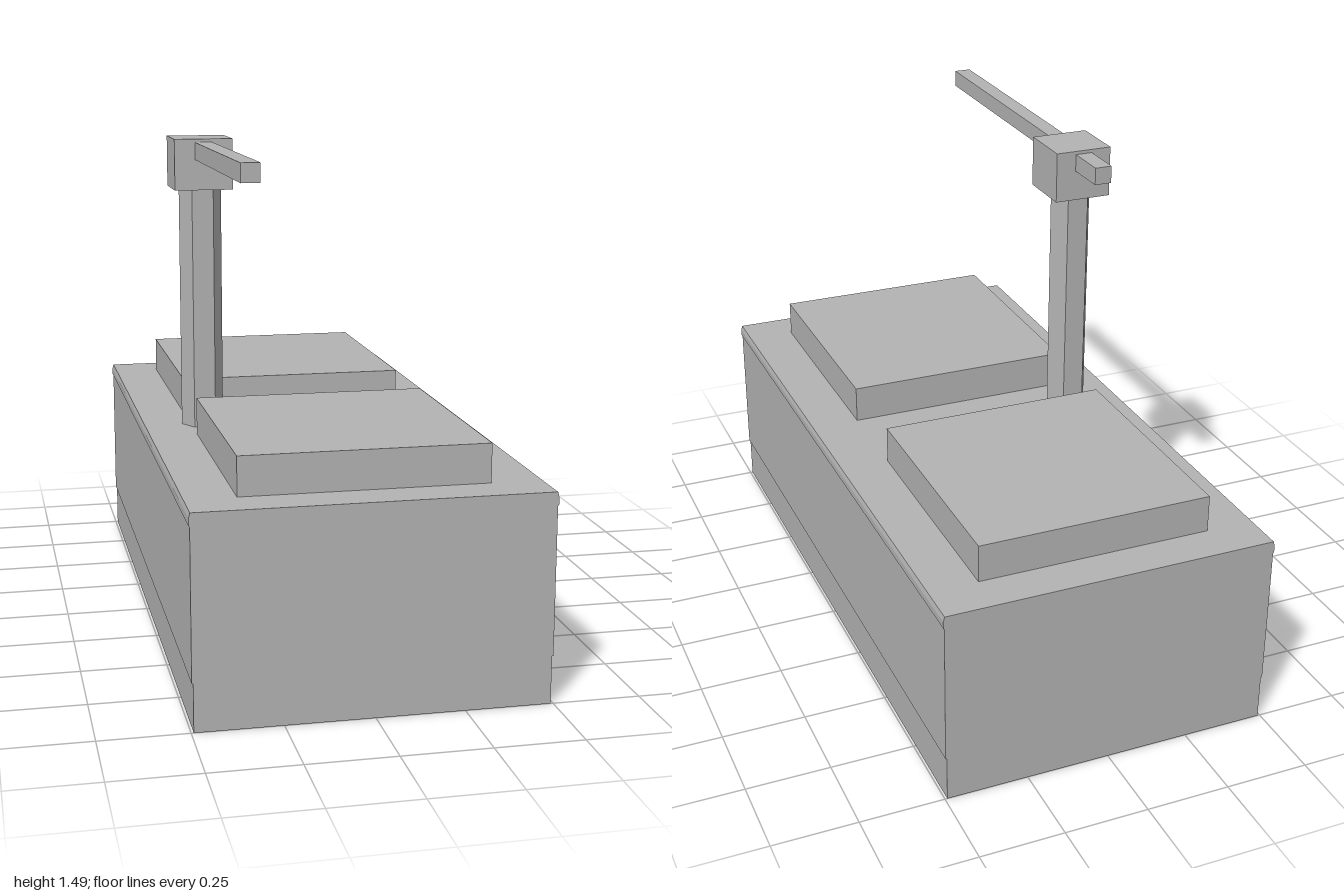
import * as THREE from 'three';

export function createModel() {
  const model = new THREE.Group();
  const grey = new THREE.MeshStandardMaterial({ color: 0xb3b3b3 });
  grey.name = 'plain grey';
  const greyOpen = new THREE.MeshStandardMaterial({ color: 0xb3b3b3, side: THREE.DoubleSide });
  greyOpen.name = 'plain grey two-sided';

  const add = (name, geometry, material = grey) => {
    const mesh = new THREE.Mesh(geometry, material);
    mesh.name = name;
    model.add(mesh);
    return mesh;
  };
  // Box given by its lower and upper limits on each axis
  const box = (name, [x0, x1], [y0, y1], [z0, z1]) =>
    add(name, new THREE.BoxGeometry(x1 - x0, y1 - y0, z1 - z0))
      .position.set((x0 + x1) / 2, (y0 + y1) / 2, (z0 + z1) / 2);

  const step = 0.137;

  // Main body: cross-section with a slight lip near the top, extruded lengthwise
  const side = [[0.497, step], [0.497, 0.56], [0.5, 0.565], [0.5, 0.585], [0.496, 0.6]];
  const outline = [...side, ...side.map(([x, y]) => [-x, y]).reverse()];
  const section = new THREE.Shape(outline.map(([x, y]) => new THREE.Vector2(x, y)));
  const body = new THREE.ExtrudeGeometry(section, { depth: 2, bevelEnabled: false });
  body.translate(0, 0, -1);
  add('body', body);

  // Thin skirt around the open underside
  const halfWidth = 0.493;
  for (const s of [1, -1]) {
    const end = add(s > 0 ? 'frontSkirt' : 'backSkirt',
      new THREE.PlaneGeometry(halfWidth * 2, step), greyOpen);
    end.position.set(0, step / 2, s);
    end.rotation.y = s > 0 ? 0 : Math.PI;
    const flank = add(s > 0 ? 'leftSkirt' : 'rightSkirt',
      new THREE.PlaneGeometry(2, step), greyOpen);
    flank.position.set(s * halfWidth, step / 2, 0);
    flank.rotation.y = s * Math.PI / 2;
  }

  // Raised pads on the top
  box('frontPad', [-0.353, 0.35], [0.6, 0.712], [0.145, 0.877]);
  box('backPad', [-0.353, 0.35], [0.6, 0.712], [-0.877, -0.145]);

  // Six-sided post with head block and long arm
  const postX = -0.314;
  const postGeometry = new THREE.CylinderGeometry(0.065, 0.065, 0.74, 6).toNonIndexed();
  postGeometry.computeVertexNormals();
  const post = add('post', postGeometry);
  post.position.set(postX, 0.97, 0);
  post.rotation.y = Math.PI / 6;
  box('head', [postX - 0.088, postX + 0.088], [1.337, 1.49], [-0.088, 0.088]);
  box('arm', [postX - 0.026, postX + 0.026], [1.428, 1.48], [-0.222, 0.89]);

  return model;
}
